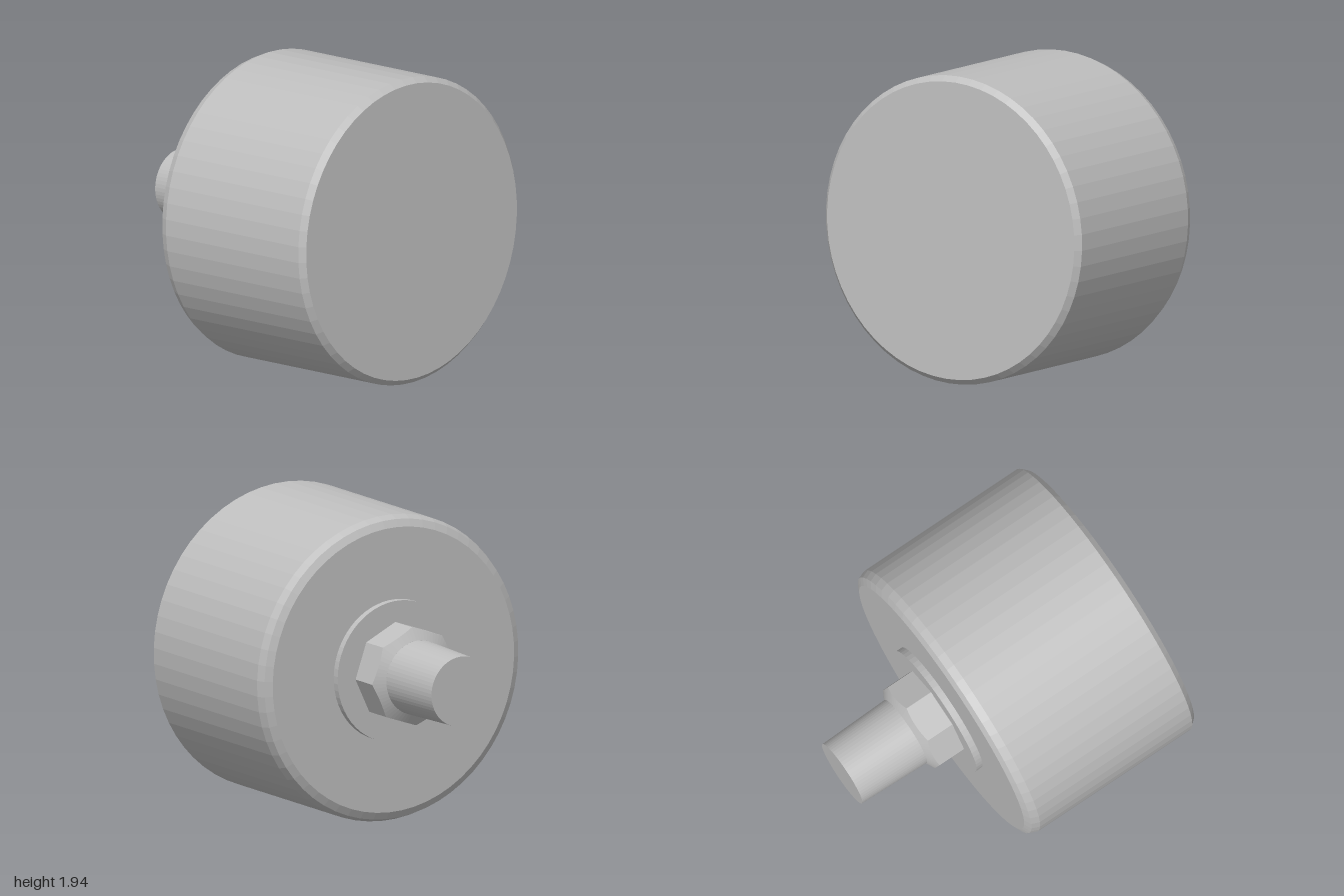
import * as THREE from 'three';

const metal = new THREE.MeshStandardMaterial({ color: 0xbebebe });
metal.name = 'plain grey metal';

// Facet a geometry so that every face keeps its own normal
function faceted(geometry) {
  const flat = geometry.toNonIndexed();
  flat.computeVertexNormals();
  return flat;
}

function part(name, geometry) {
  const mesh = new THREE.Mesh(faceted(geometry), metal);
  mesh.name = name;
  return mesh;
}

// Solid of revolution; points are [radius, position along the axis], back to front
function turned(name, points, sides) {
  const profile = points.map(([r, t]) => new THREE.Vector2(r, t));
  return part(name, new THREE.LatheGeometry(profile, sides));
}

// Octagonal nut whose back end is cut by a cone, giving curved chamfer edges
function nutGeometry(apothem, front, back, endRadius) {
  const sector = Math.PI / 4;
  const corner = -5 * Math.PI / 180;
  const geometry = new THREE.CylinderGeometry(1, 1, 2, 72, 2);
  const pos = geometry.attributes.position;
  for (let i = 0; i < pos.count; i++) {
    const x = pos.getX(i), y = pos.getY(i), z = pos.getZ(i);
    const fromCentre = Math.hypot(x, z) < 0.01;
    const angle = Math.atan2(-z, x) - corner;
    const inSector = ((angle % sector) + sector) % sector - sector / 2;
    const edge = apothem / Math.cos(inSector);
    const radius = fromCentre ? 0 : y < -0.5 ? endRadius : edge;
    const t = y > 0.5 ? front : y < -0.5 ? back : back + (edge - endRadius) * 0.55;
    pos.setXYZ(i, x * radius, t, z * radius);
  }
  return geometry;
}

export function createModel() {
  const model = new THREE.Group();
  model.name = 'gauge';

  // Axis runs front to back, with the front tipped slightly upward
  const axis = new THREE.Group();
  axis.name = 'tiltedGauge';
  axis.position.set(0, 1.005, 0.952);
  axis.rotation.x = Math.PI / 2 - 0.054;
  model.add(axis);

  // Drum housing with a bevelled front rim and a rounded back rim
  axis.add(turned('housing', [
    [0, -1.217], [0.875, -1.217], [0.92, -1.195], [0.94, -1.145],
    [0.94, -0.035], [0.907, 0], [0, 0],
  ], 60));

  // Thin round flange on the back
  axis.add(turned('backFlange', [
    [0, -1.26], [0.433, -1.26], [0.433, -1.21], [0, -1.21],
  ], 60));

  // Nut
  axis.add(part('nut', nutGeometry(0.281, -1.25, -1.48, 0.228)));

  // Slightly tapered connection stem
  axis.add(turned('stem', [
    [0, -1.943], [0.214, -1.943], [0.228, -1.47], [0, -1.47],
  ], 60));

  return model;
}
